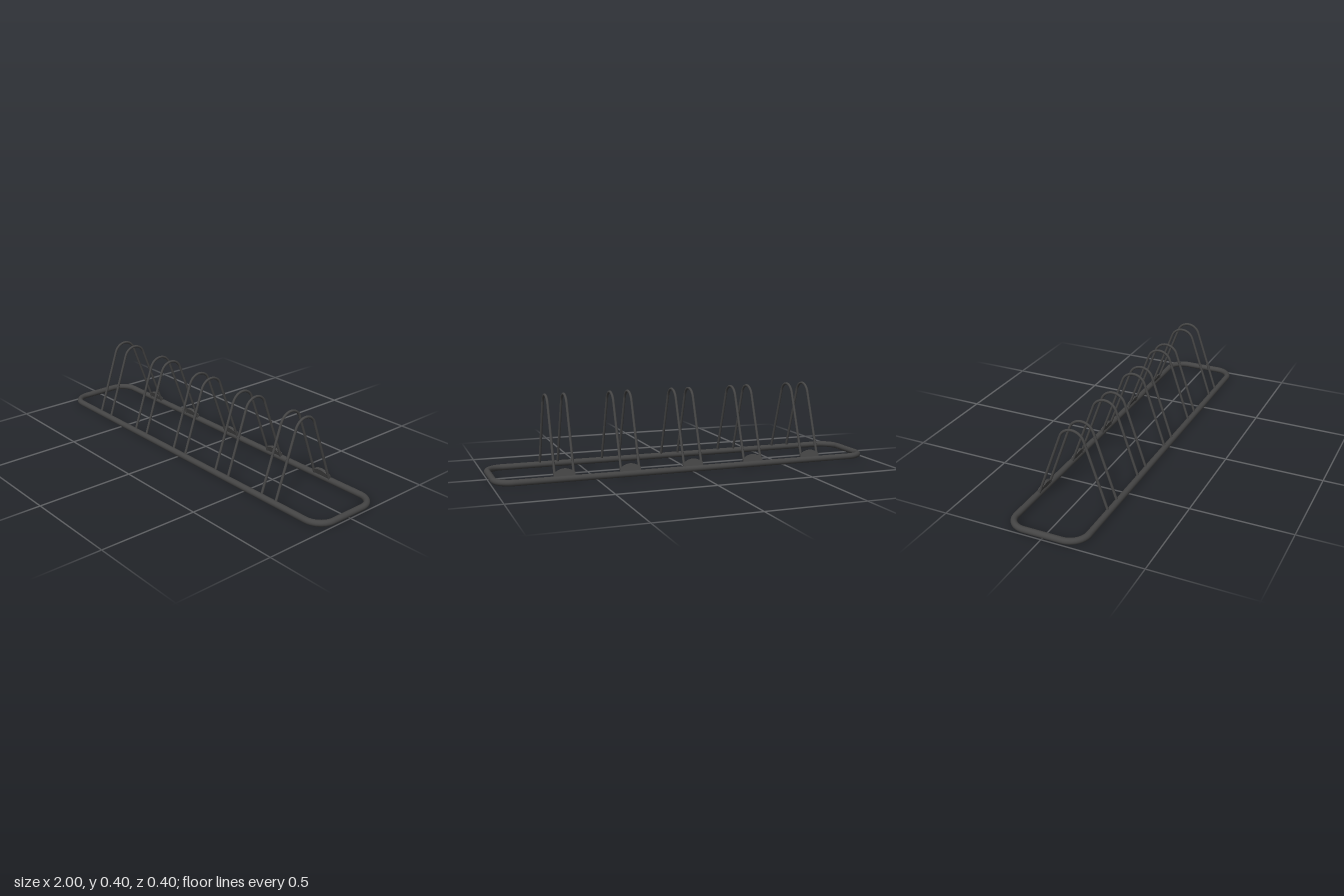
import * as THREE from 'three';

const material = new THREE.MeshStandardMaterial({ color: 0x444444 });
const RAIL_Y = 0.0165, RAIL_R = 0.0158, ROD_R = 0.0066;

// A flat 2D path placed in space by a mapping function
class PlacedPath extends THREE.Curve {
  constructor(path, place) {
    super();
    this.path = path;
    this.place = place;
    this.arcLengthDivisions = 600;
  }
  getPoint(t, target = new THREE.Vector3()) {
    const p = this.path.getPoint(t);
    return target.copy(this.place(p.x, p.y));
  }
}

function mesh(name, geometry) {
  const m = new THREE.Mesh(geometry, material);
  m.name = name;
  return m;
}

// Rounded rectangle of tube lying on the ground
function baseRail() {
  const w = 1 - RAIL_R, d = 0.2 - RAIL_R, r = 0.088, q = Math.PI / 2;
  const path = new THREE.Path();
  path.moveTo(w - r, -d);
  path.absarc(w - r, -d + r, r, -q, 0);
  path.absarc(w - r, d - r, r, 0, q);
  path.absarc(-w + r, d - r, r, q, 2 * q);
  path.absarc(-w + r, -d + r, r, 2 * q, 3 * q);
  path.lineTo(w - r, -d);
  const curve = new PlacedPath(path, (x, y) => new THREE.Vector3(x, RAIL_Y, y));
  return mesh('baseRail', new THREE.TubeGeometry(curve, 360, RAIL_R, 16, true));
}

// Bent rod: two sloping legs joined by a round top
function hoopGeometry() {
  const cz = 0.006, r = 0.0645, cy = 0.399 - r, tilt = 0.337;
  const path = new THREE.Path();
  path.moveTo(0.184, RAIL_Y);
  path.lineTo(cz + r * Math.cos(tilt), cy + r * Math.sin(tilt));
  path.absarc(cz, cy, r, tilt, Math.PI - tilt);
  path.lineTo(-0.181, RAIL_Y);
  const curve = new PlacedPath(path, (z, y) => new THREE.Vector3(0, y, z));
  return new THREE.TubeGeometry(curve, 120, ROD_R, 12, false);
}

// Small plate with a domed top edge, joining the back legs of a pair
function plateGeometry() {
  const w = 0.052, shape = new THREE.Shape();
  shape.moveTo(-w, 0);
  shape.lineTo(w, 0);
  shape.lineTo(w, 0.028);
  shape.quadraticCurveTo(0, 0.07, -w, 0.028);
  const geometry = new THREE.ExtrudeGeometry(shape, { depth: 0.014, bevelEnabled: false, curveSegments: 20 });
  geometry.translate(0, 0, -0.007);
  return geometry;
}

export function createModel() {
  const model = new THREE.Group();
  model.name = 'bikeRack';
  model.add(baseRail());

  const hoop = hoopGeometry(), plate = plateGeometry();
  for (let i = -2; i <= 2; i++) {
    const bay = new THREE.Group();
    bay.name = 'wheelBay';
    bay.position.x = i * 0.329 + 0.001;
    for (const side of [-1, 1]) {
      const rod = mesh('hoop', hoop);
      rod.position.x = side * 0.0468;
      bay.add(rod);
    }
    const joint = mesh('joiningPlate', plate);
    joint.position.set(0, 0.018, -0.184);
    joint.rotation.x = 0.35;
    bay.add(joint);
    model.add(bay);
  }
  return model;
}
